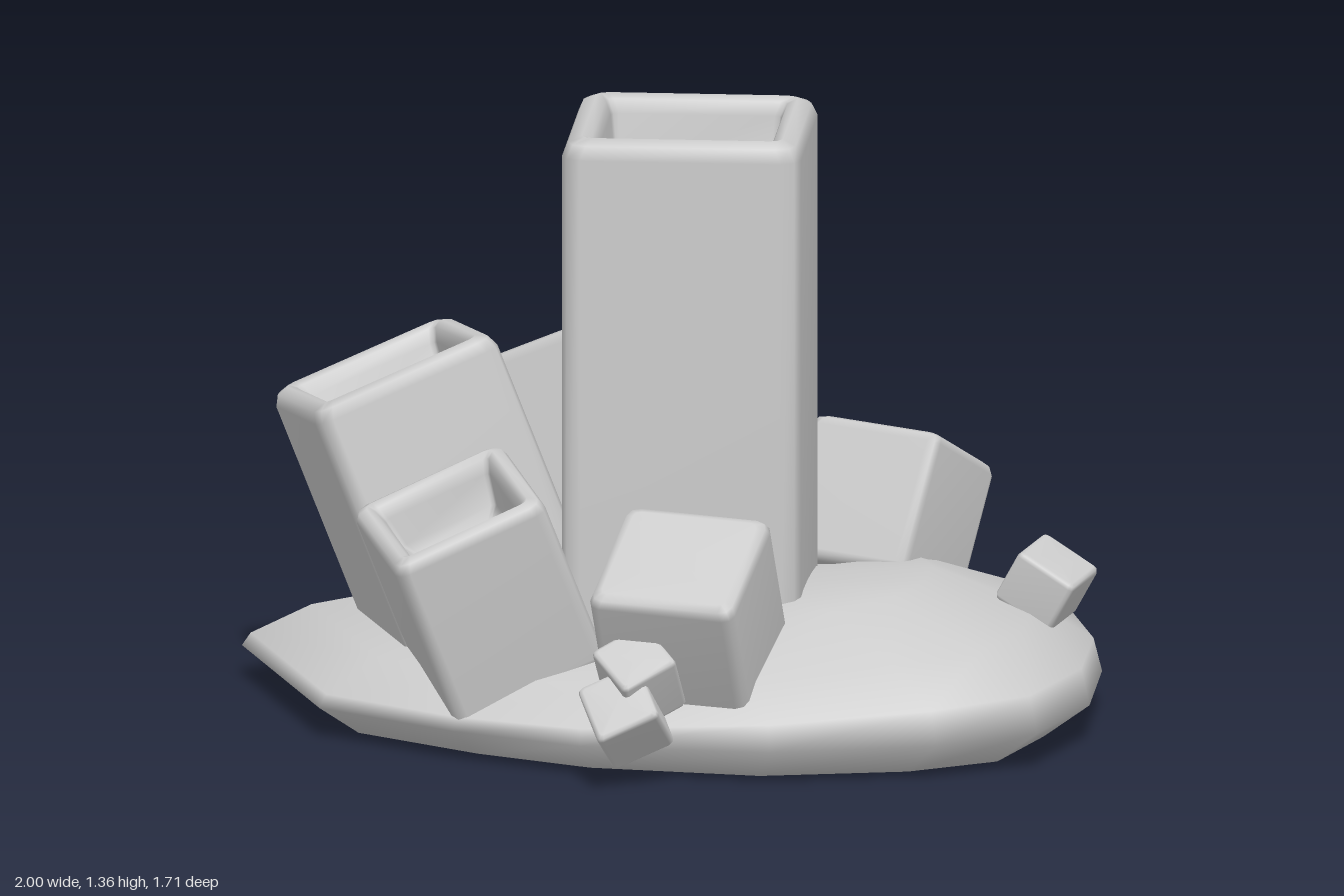
import * as THREE from 'three';

const stone = new THREE.MeshStandardMaterial({ color: 0xcccccc });
stone.name = 'stone';

// Skin a stack of rings (each counter-clockwise seen from above) with smooth normals
function loft(rings) {
  const n = rings[0].length, index = [];
  for (let r = 0; r < rings.length - 1; r++) {
    for (let i = 0; i < n; i++) {
      const a = r * n + i, b = r * n + (i + 1) % n;
      index.push(a, b, b + n, a, b + n, a + n);
    }
  }
  const geo = new THREE.BufferGeometry();
  geo.setAttribute('position', new THREE.Float32BufferAttribute(rings.flat(2), 3));
  geo.setIndex(index);
  geo.computeVertexNormals();
  return geo;
}

// Rectangle with rounded corners, shrunk by inset, at height y
function ring(w, d, inset, y, radius) {
  const pts = [], hw = w / 2 - inset, hd = d / 2 - inset;
  const r = Math.max(0, Math.min(radius, hw, hd));
  for (let k = 0; k < 4; k++) {
    const mid = (k + 0.5) * Math.PI / 2;
    for (let j = -1; j <= 1; j++) {
      const t = mid + j * Math.PI / 4;
      pts.push([
        Math.sign(Math.cos(mid)) * (hw - r) + r * Math.cos(t), y,
        -Math.sign(Math.sin(mid)) * (hd - r) - r * Math.sin(t),
      ]);
    }
  }
  return pts;
}

// Soft-edged block; its top centre is the origin and it grows down to -len
function blockGeometry(w, d, len, hollow) {
  const s = Math.min(w, d), b = s * 0.08, centre = s / 2;
  const rings = [
    ring(w, d, centre, -len, b),
    ring(w, d, b, -len, b * 0.6),
    ring(w, d, b * 0.3, -len + b * 0.3, b),
    ring(w, d, 0, -len + b, b),
    ring(w, d, 0, -b, b),
    ring(w, d, b * 0.3, -b * 0.3, b),
    ring(w, d, b, 0, b * 0.6),
  ];
  if (hollow) {
    const lip = s * 0.12;
    rings.push(
      ring(w, d, lip, -0.01, b * 0.4),
      ring(w, d, lip + 0.012, -0.04, b * 0.4),
      ring(w, d, lip + 0.025, -hollow + 0.02, b * 0.4),
      ring(w, d, lip + 0.045, -hollow, b * 0.4),
      ring(w, d, centre, -hollow, b),
    );
  } else rings.push(ring(w, d, centre, 0, b));
  return loft(rings);
}

// Place a block by the centre of its top, its long axis and one edge direction
function block(name, top, axis, edge, [w, d, len], hollow = 0) {
  const n = new THREE.Vector3(...axis).normalize();
  const u = new THREE.Vector3(...edge);
  u.addScaledVector(n, -u.dot(n)).normalize();
  const v = new THREE.Vector3().crossVectors(u, n);
  const mesh = new THREE.Mesh(blockGeometry(w, d, len, hollow), stone);
  mesh.name = name;
  mesh.quaternion.setFromRotationMatrix(new THREE.Matrix4().makeBasis(u, n, v));
  mesh.position.set(...top);
  return mesh;
}

// Rounded slab of rock, highest towards +x
function rockBase() {
  const outline = [
    [-1, 0.17], [-0.57, 0.64], [-0.2, 0.71], [0.12, 0.72], [0.54, 0.61], [0.85, 0.4], [1, 0.2],
    [0.98, -0.1], [0.85, -0.42], [0.65, -0.7], [0.1, -0.77], [-0.3, -0.72], [-0.64, -0.67], [-0.8, -0.27],
  ];
  // scale, height, extra height per unit of +x
  const levels = [
    [0, 0, 0], [0.6, 0, 0], [0.89, 0.005, 0], [1, 0.07, 0.015], [0.98, 0.1, 0.07],
    [0.84, 0.175, 0.085], [0.6, 0.225, 0.19], [0.3, 0.25, 0.22], [0, 0.27, 0],
  ];
  const rings = levels.map(([s, y, k]) =>
    outline.map(([x, z]) => [x * s, y + k * Math.max(0, x * s), z * s]));
  const mesh = new THREE.Mesh(loft(rings), stone);
  mesh.name = 'rockBase';
  return mesh;
}

export function createModel() {
  const model = new THREE.Group();
  model.name = 'crystalCluster';
  model.add(
    rockBase(),
    // Tall hollow column
    block('mainColumn', [0.045, 1.36, 0.025], [0, 1, 0], [0.47, 0, -0.19], [0.535, 0.535, 1.2], 0.2),
    // Leaning hollow crystals
    block('leftCrystal', [-0.6, 0.785, 0.275], [-0.34, 0.93, 0.14], [0.27, 0.05, 0.32], [0.45, 0.45, 0.68], 0.16),
    block('backLeftCrystal', [-0.575, 0.645, -0.465], [-0.4, 0.88, -0.24], [0.43, 0.19, 0], [0.48, 0.41, 0.5], 0.13),
    block('frontCrystal', [-0.265, 0.565, 0.615], [-0.19, 0.9, 0.36], [0.24, -0.06, 0.26], [0.38, 0.37, 0.44], 0.13),
    // Solid blocks
    block('frontBlock', [0.305, 0.495, 0.595], [0.1, 0.87, 0.47], [1, 0, -0.14], [0.34, 0.33, 0.33]),
    block('backBlock', [0.27, 0.515, -0.595], [0.05, 0.88, -0.45], [1, 0, 0.06], [0.33, 0.3, 0.33]),
    block('backMiddleBlock', [-0.1, 0.5, -0.51], [-0.08, 0.9, -0.38], [0.75, 0, 0.6], [0.31, 0.31, 0.34]),
    // Small loose cubes
    block('backCube', [0.17, 0.285, -0.78], [0, 0.78, -0.6], [1, 0, -0.1], [0.2, 0.2, 0.2]),
    block('rightCube', [0.79, 0.35, -0.33], [0.5, 0.86, 0], [0.83, -0.5, -0.12], [0.15, 0.17, 0.13]),
    block('leftCube', [-0.68, 0.285, 0.06], [-0.4, 0.85, -0.2], [0.7, 0, 0.5], [0.14, 0.14, 0.12]),
    block('frontLowCube', [0.255, 0.205, 0.8], [0.1, 0.6, 0.75], [0.8, 0.5, -0.3], [0.15, 0.15, 0.15]),
    block('frontUpperCube', [0.26, 0.295, 0.73], [0.1, 0.75, 0.55], [0.7, -0.4, 0.4], [0.15, 0.14, 0.15]),
  );
  return model;
}
